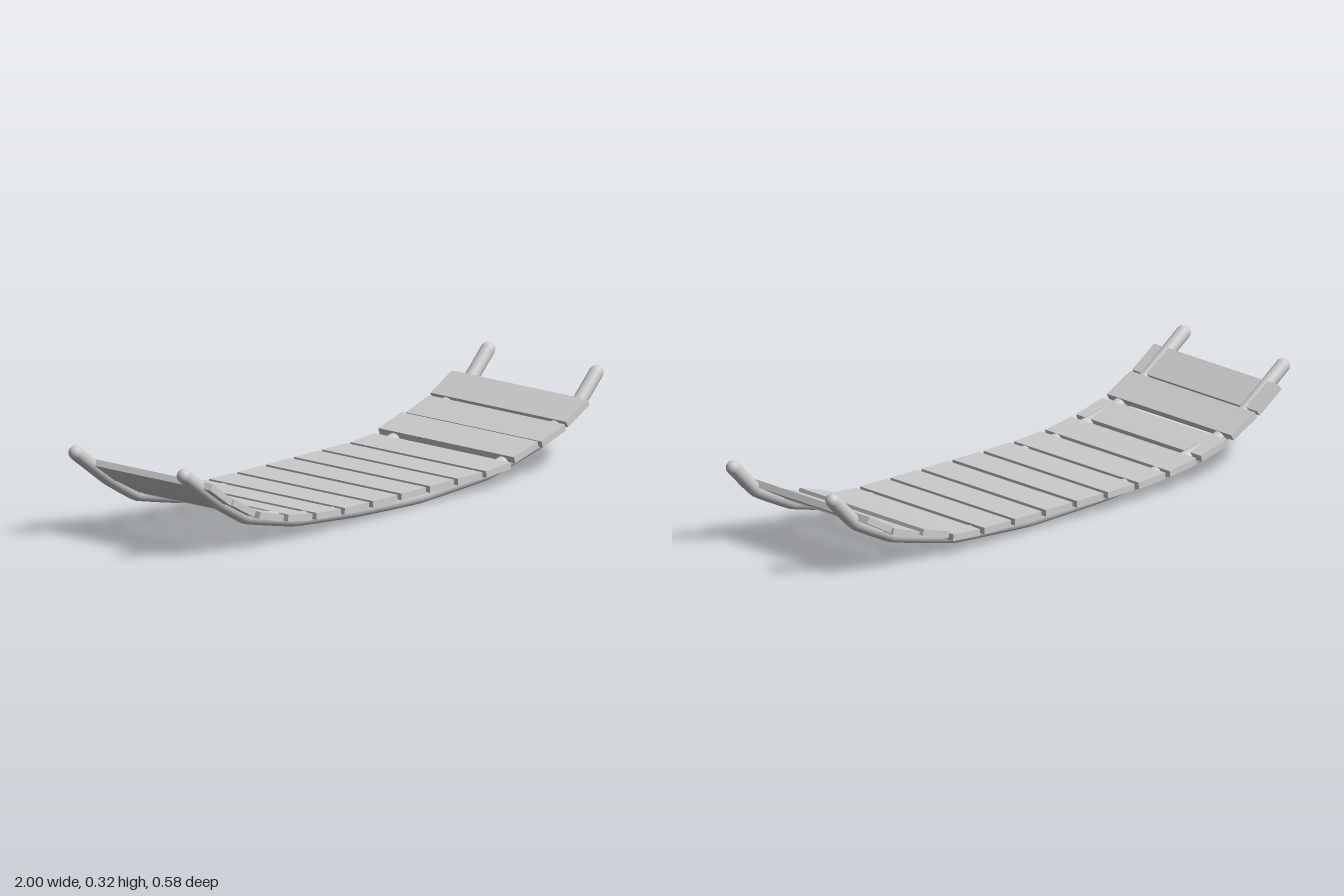
import * as THREE from 'three';

const ROPE_R = 0.0235;

// Sagging rope line in the x-y plane
const ROPE = [
  [-0.977, 0.292], [-0.825, 0.183], [-0.69, 0.107], [-0.455, 0.056], [-0.16, 0.033],
  [0.13, 0.0235], [0.455, 0.042], [0.72, 0.103], [0.88, 0.18], [0.977, 0.275],
];

// Planks: centre x, centre y, tilt in degrees
const PLANKS = [
  [-0.858, 0.217, -35], [-0.75, 0.154, -28], [-0.62, 0.102, -15], [-0.485, 0.075, -9],
  [-0.35, 0.061, -4], [-0.216, 0.056, -1], [-0.082, 0.055, 0], [0.053, 0.055, 0],
  [0.187, 0.055, 0], [0.32, 0.055, 0], [0.455, 0.059, 4], [0.587, 0.093, 16],
  [0.717, 0.123, 18], [0.831, 0.176, 28],
];

export function createModel() {
  const model = new THREE.Group();
  model.name = 'hangingBridge';
  const material = new THREE.MeshStandardMaterial({ color: 0xcccccc });

  // Two ropes with rounded ends
  const points = ROPE.map(([x, y]) => new THREE.Vector3(x, y, 0));
  const curve = new THREE.CatmullRomCurve3(points, false, 'catmullrom', 0.12);
  const ropeGeometry = new THREE.TubeGeometry(curve, 120, ROPE_R, 16);
  const endGeometry = new THREE.SphereGeometry(ROPE_R, 16, 12);
  for (const [name, z] of [['frontRope', 0.237], ['backRope', -0.226]]) {
    const rope = new THREE.Group();
    rope.name = name;
    rope.position.z = z;
    const line = new THREE.Mesh(ropeGeometry, material);
    line.name = 'ropeLine';
    rope.add(line);
    for (const p of [points[0], points[points.length - 1]]) {
      const end = new THREE.Mesh(endGeometry, material);
      end.name = 'ropeEnd';
      end.position.copy(p);
      rope.add(end);
    }
    model.add(rope);
  }

  // Planks laid across the ropes
  const plankGeometry = new THREE.BoxGeometry(0.116, 0.022, 0.58);
  PLANKS.forEach(([x, y, tilt], i) => {
    const plank = new THREE.Mesh(plankGeometry, material);
    plank.name = `plank${i + 1}`;
    plank.position.set(x, y, 0);
    plank.rotation.z = THREE.MathUtils.degToRad(tilt);
    model.add(plank);
  });

  return model;
}
